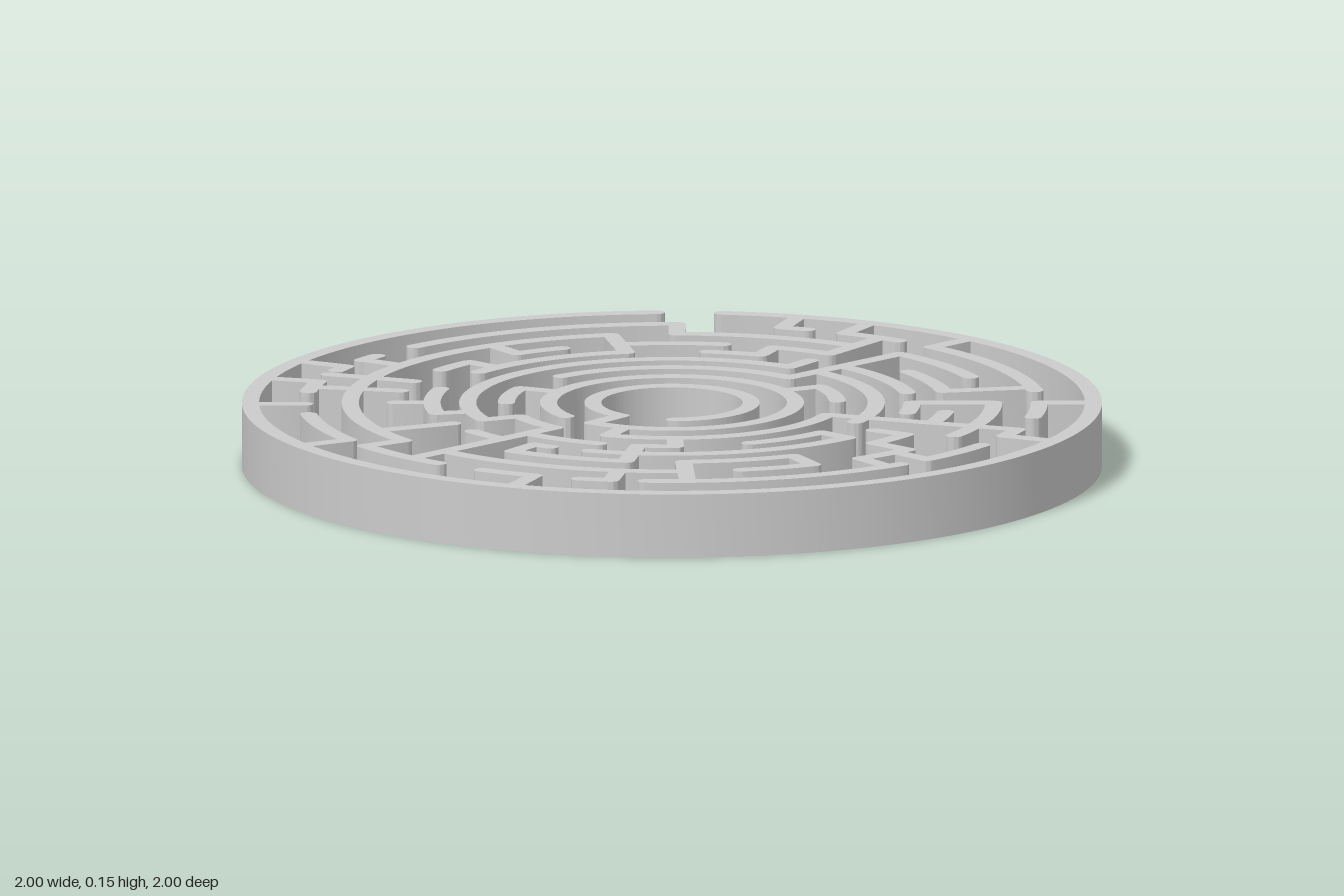
import * as THREE from 'three';
import { toCreasedNormals } from 'three/addons/utils/BufferGeometryUtils.js';

const HEIGHT = 0.15, HALF = 0.02;
// Centre-line radii of the nine rings, innermost first
const RADII = [0.184, 0.287, 0.385, 0.475, 0.558, 0.644, 0.748, 0.854, 0.98];
const radius = (ring) => RADII[ring - 1];
// Angles run clockwise from the back, in degrees, seen from above
const toMath = (deg) => THREE.MathUtils.degToRad(90 - deg);

// Curved wall outline with rounded ends
function arcShape(r, from, to) {
  const t0 = toMath(to), t1 = toMath(from);
  const s = new THREE.Shape();
  s.absarc(0, 0, r + HALF, t0, t1, false);
  s.absarc(r * Math.cos(t1), r * Math.sin(t1), HALF, t1, t1 + Math.PI, false);
  s.absarc(0, 0, r - HALF, t1, t0, true);
  s.absarc(r * Math.cos(t0), r * Math.sin(t0), HALF, t0 + Math.PI, t0 + 2 * Math.PI, false);
  return s;
}

// Straight radial wall outline with rounded ends
function spokeShape(angle, r0, r1) {
  const t = toMath(angle), q = Math.PI / 2;
  const s = new THREE.Shape();
  s.absarc(r1 * Math.cos(t), r1 * Math.sin(t), HALF, t - q, t + q, false);
  s.absarc(r0 * Math.cos(t), r0 * Math.sin(t), HALF, t + q, t + 3 * q, false);
  return s;
}

// Raise an outline into a wall standing on the ground
function wall(name, shape, curveSegments, material) {
  const g = new THREE.ExtrudeGeometry(shape, { depth: HEIGHT, bevelEnabled: false, curveSegments });
  g.rotateX(-Math.PI / 2);
  const mesh = new THREE.Mesh(toCreasedNormals(g, Math.PI / 5), material);
  mesh.name = name;
  return mesh;
}

export function createModel() {
  const model = new THREE.Group();
  model.name = 'circularMaze';
  const material = new THREE.MeshStandardMaterial({ color: 0xcccccc });

  // Curved walls along one ring, each span a start and an end angle
  function ringWalls(name, ring, ...spans) {
    const group = new THREE.Group();
    group.name = name;
    for (const [from, to] of spans) {
      const segments = Math.max(8, Math.ceil((to - from) / 3));
      group.add(wall('curvedWall', arcShape(radius(ring), from, to), segments, material));
    }
    model.add(group);
  }

  // Radial walls joining two rings at the given angles
  function crossWalls(inner, outer, ...angles) {
    const group = new THREE.Group();
    group.name = 'crossWalls';
    for (const a of angles) {
      group.add(wall('crossWall', spokeShape(a, radius(inner), radius(outer)), 8, material));
    }
    model.add(group);
  }

  // Outer wall with the entrance, then the rings inwards
  ringWalls('outerWall', 9, [7.8, 358.8]);
  ringWalls('eighthRing', 8, [-43.5, 1.8], [18.4, 22.5], [29, 39], [46, 82], [91, 101.5],
    [111, 116], [123.5, 137], [142.5, 185], [190.5, 195.5], [203, 212], [220.5, 237.5],
    [242.6, 262.5], [279, 286.6], [295, 298.3], [303.5, 307.5]);
  ringWalls('seventhRing', 7, [1.8, 35.5], [46, 69], [91, 119.5], [134, 145], [155, 168.5],
    [178.5, 226], [237.5, 350]);
  ringWalls('sixthRing', 6, [-10, 11.5], [22.5, 35.5], [59.5, 79.8], [100, 111], [123.5, 134],
    [155, 178.5], [190.5, 216], [304.5, 314], [327, 337.5]);
  ringWalls('fifthRing', 5, [9.5, 22.5], [46, 79.5], [91, 102.5], [134, 201], [211.5, 216],
    [226, 237], [259, 286.5], [307.5, 350]);
  ringWalls('fourthRing', 4, [46, 117], [134, 158.5], [180, 190.5], [202, 226], [248, 396]);
  ringWalls('thirdRing', 3, [-41, 46], [64, 88], [111, 203.5], [226, 248], [271, 295]);
  ringWalls('secondRing', 2, [-120, 220]);
  ringWalls('innerRing', 1, [-135, 179]);

  // Cross walls spanning one corridor
  crossWalls(1, 2, 221);
  crossWalls(2, 3, 64, 203.5, 295);
  crossWalls(3, 4, 180, 248);
  crossWalls(4, 5, 36, 134, 259);
  crossWalls(5, 6, 22.5, 123.5, 216, 271, 314);
  crossWalls(6, 7, 134, 155, 327);
  crossWalls(7, 8, 1.8, 137, 145, 190.5, 237.5, 303.8);
  crossWalls(8, 9, 18.4, 29, 46, 91, 116, 203, 242.6, 270, 286.6, 298.3);

  // Cross walls spanning several corridors
  crossWalls(4, 6, 190.5);
  crossWalls(5, 7, 91, 247, 350);
  crossWalls(6, 8, 35.5, 79.8, 178.5, 282.5, 292);
  crossWalls(3, 7, 46);
  crossWalls(3, 8, 111, 226);

  return model;
}
